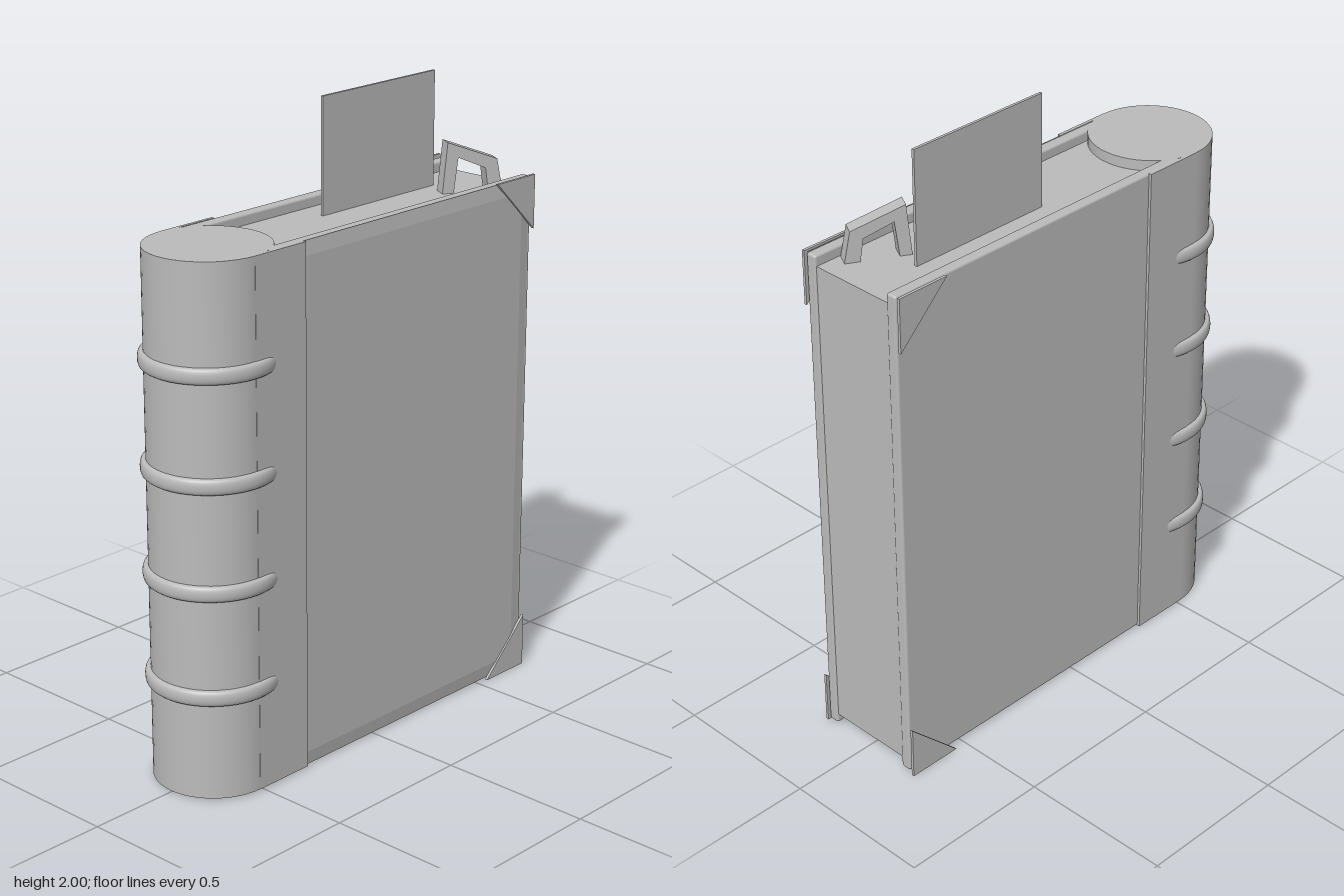
import * as THREE from 'three';
import { RoundedBoxGeometry } from 'three/addons/geometries/RoundedBoxGeometry.js';

const grey = new THREE.MeshStandardMaterial({ color: 0xbbbbbb });
grey.name = 'plain grey';

const BOTTOM = 0.01, TOP = 1.67, MID = (BOTTOM + TOP) / 2, HEIGHT = TOP - BOTTOM;
const SPINE_X = -0.515, SPINE_R = 0.19;

export function createModel() {
  const book = new THREE.Group();
  book.name = 'book';

  const add = (name, geometry, x = 0, y = 0, z = 0) => {
    const mesh = new THREE.Mesh(geometry, grey);
    mesh.name = name;
    mesh.position.set(x, y, z);
    book.add(mesh);
    return mesh;
  };
  const box = (name, x0, x1, y0, y1, z0, z1) =>
    add(name, new THREE.BoxGeometry(x1 - x0, y1 - y0, z1 - z0), (x0 + x1) / 2, (y0 + y1) / 2, (z0 + z1) / 2);
  const polygon = (points) => new THREE.Shape(points.map(([x, y]) => new THREE.Vector2(x, y)));

  // Page block and round spine
  box('pages', -0.45, 0.71, 0.042, 1.636, -0.147, 0.147);
  add('spine', new THREE.CylinderGeometry(SPINE_R, SPINE_R, HEIGHT, 48), SPINE_X, MID, 0);

  for (const side of [1, -1]) {
    const label = side > 0 ? 'front' : 'back';
    // Cover board with softened edges
    add(label + 'Cover', new RoundedBoxGeometry(1.215, HEIGHT, 0.037, 3, 0.008), 0.1075, MID, side * 0.1635);
    // Spine wrap lying flat over the hinge
    box(label + 'Hinge', SPINE_X, -0.31, BOTTOM, TOP, side > 0 ? 0.18 : -0.191, side > 0 ? 0.191 : -0.18);
    // Triangular corner guards
    for (const up of [1, -1]) {
      const triangle = up > 0
        ? [[0.54, 1.675], [0.72, 1.5], [0.72, 1.675]]
        : [[0.54, 0.005], [0.72, 0.005], [0.72, 0.18]];
      const geometry = new THREE.ExtrudeGeometry(polygon(triangle), { depth: 0.009, bevelEnabled: false });
      add(label + (up > 0 ? 'Top' : 'Bottom') + 'Corner', geometry, 0, 0, side > 0 ? 0.184 : -0.204);
    }
  }

  // Shallow bevelled panel on the front cover
  const panel = new THREE.ExtrudeGeometry(
    polygon([[-0.4, 0.055], [0.664, 0.055], [0.664, 1.625], [-0.4, 1.625]]),
    { depth: 0.001, bevelSize: 0.045, bevelThickness: 0.006, bevelSegments: 1 });
  add('frontPanel', panel, 0, 0, 0.18);

  // Raised bands around the spine
  const profile = [];
  for (let i = 0; i <= 10; i++) {
    const a = -Math.PI / 2 + (i / 10) * Math.PI;
    profile.push(new THREE.Vector2(0.188 + 0.019 * Math.sqrt(Math.cos(a) + 1e-9), 0.025 * Math.sin(a)));
  }
  const band = new THREE.LatheGeometry(profile, 40, Math.PI - 0.4, Math.PI + 0.8);
  const bandEnd = new THREE.ShapeGeometry(new THREE.Shape(profile));
  for (const y of [0.34, 0.672, 1.004, 1.336]) {
    add('spineBand', band, SPINE_X, y, 0);
    // End caps turned to the two ends of the arc
    add('spineBandEnd', bandEnd, SPINE_X, y, 0).rotation.y = 0.4 - Math.PI / 2;
    const far = add('spineBandEnd', bandEnd, SPINE_X, y, 0);
    far.rotation.set(Math.PI, Math.PI / 2 - 0.4, 0);
  }

  // Loose sheet tucked between the pages
  box('looseSheet', 0.014, 0.515, 1.3, 2, -0.056, -0.047);

  // Crooked arch poking out of the pages
  const arch = polygon([
    [-0.104, 1.6], [-0.085, 1.797], [0.078, 1.735], [0.103, 1.6],
    [0.055, 1.6], [0.04, 1.708], [-0.05, 1.747], [-0.068, 1.6],
  ]);
  const archGeometry = new THREE.ExtrudeGeometry(arch, { depth: 0.048, bevelEnabled: false });
  archGeometry.translate(0, 0, -0.024);
  add('arch', archGeometry, 0.55, 0, 0.074).rotation.y = -0.51;

  return book;
}
